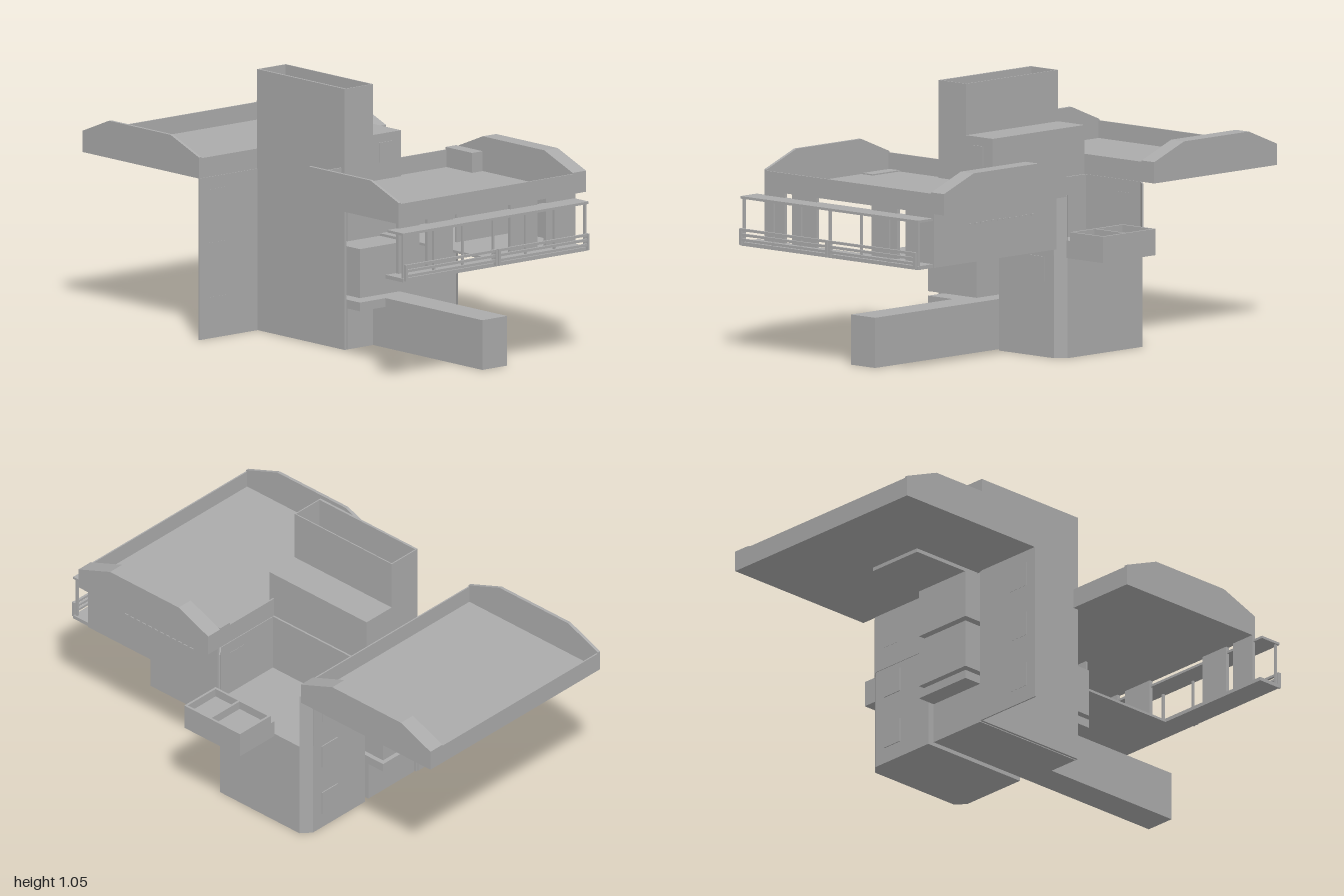
import * as THREE from 'three';

export function createModel() {
  const model = new THREE.Group();
  const concrete = new THREE.MeshStandardMaterial({ color: 0xaaaaaa });
  concrete.name = 'concrete grey';
  concrete.side = THREE.DoubleSide;

  const add = (name, geometry, parent = model) => {
    const mesh = new THREE.Mesh(geometry, concrete);
    mesh.name = name;
    parent.add(mesh);
    return mesh;
  };
  // Box given by its lower and upper bounds on each axis
  const box = (name, x0, x1, y0, y1, z0, z1, parent) => {
    const g = new THREE.BoxGeometry(x1 - x0, y1 - y0, z1 - z0);
    g.translate((x0 + x1) / 2, (y0 + y1) / 2, (z0 + z1) / 2);
    return add(name, g, parent);
  };
  // Outline in x and y, extruded from z0 to z1
  const slab = (name, points, z0, z1, parent) => {
    const shape = new THREE.Shape(points.map(([x, y]) => new THREE.Vector2(x, y)));
    const g = new THREE.ExtrudeGeometry(shape, { depth: z1 - z0, bevelEnabled: false });
    g.translate(0, 0, z0);
    return add(name, g, parent);
  };
  const group = (name) => {
    const g = new THREE.Group();
    g.name = name;
    model.add(g);
    return g;
  };

  // Two flat roofs with raised, sloping end parapets and low side walls
  const roof = (name, x0, x1) => {
    const g = group(name);
    const profile = [[x0, 0.65], [x1, 0.65], [x1, 0.735], [x1 - 0.17, 0.8], [x0 + 0.16, 0.8], [x0, 0.735]];
    box('roofDeck', x0, x1, 0.65, 0.66, -0.43, 0.55, g);
    slab('backParapet', profile, -0.43, -0.36, g);
    slab('frontParapet', profile, 0.537, 0.55, g);
    box('sideParapet', x0, x0 + 0.006, 0.65, 0.73, -0.36, 0.537, g);
    box('sideParapet', x1 - 0.006, x1, 0.65, 0.73, -0.36, 0.537, g);
    return g;
  };
  roof('leftHandRoof', -1, -0.3);
  const balconyRoof = roof('balconyRoof', 0.2, 0.9);
  box('roofVent', 0.2, 0.36, 0.66, 0.74, -0.36, -0.305, balconyRoof);
  box('roofPlate', 0.2, 0.36, 0.66, 0.665, 0.475, 0.53, balconyRoof);
  box('roofBeam', -0.63, -0.3, 0.635, 0.65, -0.03, 0.22);

  // Tall front panel and the open-topped tower head behind it
  const tower = group('tower');
  box('frontPanel', -0.3, 0.225, 0, 1.05, 0.235, 0.245, tower);
  box('towerBack', -0.3, 0.225, 0.65, 1.05, 0.095, 0.1, tower);
  for (const x of [-0.3, 0.22]) box('towerSide', x, x + 0.005, 0.65, 1.05, 0.1, 0.235, tower);
  box('towerFloor', -0.295, 0.22, 0.84, 0.85, 0.1, 0.235, tower);
  box('machineRoom', -0.3, 0.225, 0.65, 0.845, -0.05, 0.095, tower);
  box('machineRoomDoor', 0.225, 0.229, 0.73, 0.81, 0, 0.065, tower);

  // Rear stair block with open upper storey and chamfered corners
  const stair = group('stairBlock');
  const plan = [[-0.3, 0.06], [0.2, 0.06], [0.2, 0.36], [0.165, 0.4], [-0.265, 0.4], [-0.3, 0.36]];
  const planShape = new THREE.Shape(plan.map(([x, y]) => new THREE.Vector2(x, y)));
  const base = new THREE.ExtrudeGeometry(planShape, { depth: 0.41, bevelEnabled: false });
  base.rotateX(-Math.PI / 2);
  add('stairBase', base, stair);
  box('innerWall', -0.3, 0.2, 0.41, 0.65, -0.058, -0.05, stair);
  for (const [x, inset] of [[-0.3, 0.035], [0.2, -0.035]]) {
    box('upperSideWall', x - 0.003, x + 0.003, 0.41, 0.65, -0.36, -0.06, stair);
    const post = new THREE.BoxGeometry(0.053, 0.24, 0.006);
    post.rotateY(Math.sign(inset) * Math.atan2(0.04, 0.035));
    post.translate(x + inset / 2, 0.53, -0.38);
    add('cornerPost', post, stair);
  }

  // Side windows, one above another on each wall
  const windows = group('windows');
  const pane = (x, y, z0, z1) => box('windowPane', x - 0.004, x + 0.004, y, y + 0.1, z0, z1, windows);
  for (const y of [0.065, 0.285, 0.5]) {
    pane(-0.3, y, 0.41, 0.505);
    pane(-0.3, y, -0.31, -0.22);
  }
  for (const y of [0.3, 0.5]) pane(0.2, y, -0.31, -0.22);

  // Thin wing wall standing forward of the tower
  box('wingWall', -0.303, -0.297, 0, 0.65, 0.245, 0.55);

  // Stacked room pods behind the front panel
  const pods = group('roomPods');
  box('upperPod', -0.375, 0.225, 0.435, 0.63, -0.035, 0.23, pods);
  box('middlePod', -0.375, 0.3, 0.218, 0.415, -0.035, 0.23, pods);
  box('lowerPod', -0.295, 0.225, 0, 0.2, -0.035, 0.23, pods);
  box('lowerPodLedge', -0.375, 0.3, 0.165, 0.2, -0.035, 0.23, pods);
  box('groundWing', 0.3, 0.88, 0, 0.2, -0.035, 0.095, pods);
  box('groundLink', 0.225, 0.3, 0, 0.2, -0.035, 0.095, pods);

  // Apartment below the roof on the balcony side
  const flat = group('apartment');
  box('apartmentFloor', 0.2, 0.9, 0.435, 0.445, -0.37, 0.06, flat);
  box('apartmentBackWall', 0.2, 0.9, 0.435, 0.65, -0.375, -0.365, flat);
  for (let i = 0; i < 12; i++) {
    const x = 0.33 + i * 0.032;
    box('wallVent', x, x + 0.018, 0.585, 0.592, -0.379, -0.375, flat);
  }
  for (const [z0, z1] of [[0.44, 0.55], [0.265, 0.4], [-0.175, -0.035], [-0.37, -0.22]]) {
    box('balconyWall', 0.885, 0.9, 0.435, 0.65, z0, z1, flat);
  }
  box('partition', 0.55, 0.56, 0.445, 0.63, -0.365, -0.05, flat);

  // Long balcony with canopy, posts and paired rails
  const balcony = group('balcony');
  box('balconyFloor', 0.88, 0.985, 0.435, 0.45, -0.37, 0.6, balcony);
  box('canopy', 0.89, 0.985, 0.622, 0.632, -0.37, 0.6, balcony);
  for (const z of [0.59, 0.43, 0.28, 0.12, -0.05, -0.2, -0.36]) {
    box('balconyPost', 0.968, 0.978, 0.45, 0.622, z - 0.004, z + 0.004, balcony);
  }
  for (const [z0, z1] of [[0.115, 0.595], [-0.365, 0.11]]) {
    for (const y of [0.455, 0.475, 0.495]) box('rail', 0.985, 0.995, y, y + 0.01, z0, z1, balcony);
    for (const z of [z0, z1 - 0.01]) box('railPost', 0.983, 0.997, 0.44, 0.505, z, z + 0.01, balcony);
  }

  // Twin open planters projecting at the back
  const planters = group('rearPlanters');
  box('planterBottom', -0.13, 0.17, 0.4, 0.47, -0.6, -0.4, planters);
  for (const x of [-0.13, 0.03, 0.16]) box('planterSide', x, x + 0.01, 0.47, 0.505, -0.6, -0.42, planters);
  for (const z of [-0.6, -0.43]) box('planterEdge', -0.13, 0.17, 0.47, 0.505, z, z + 0.01, planters);

  return model;
}
